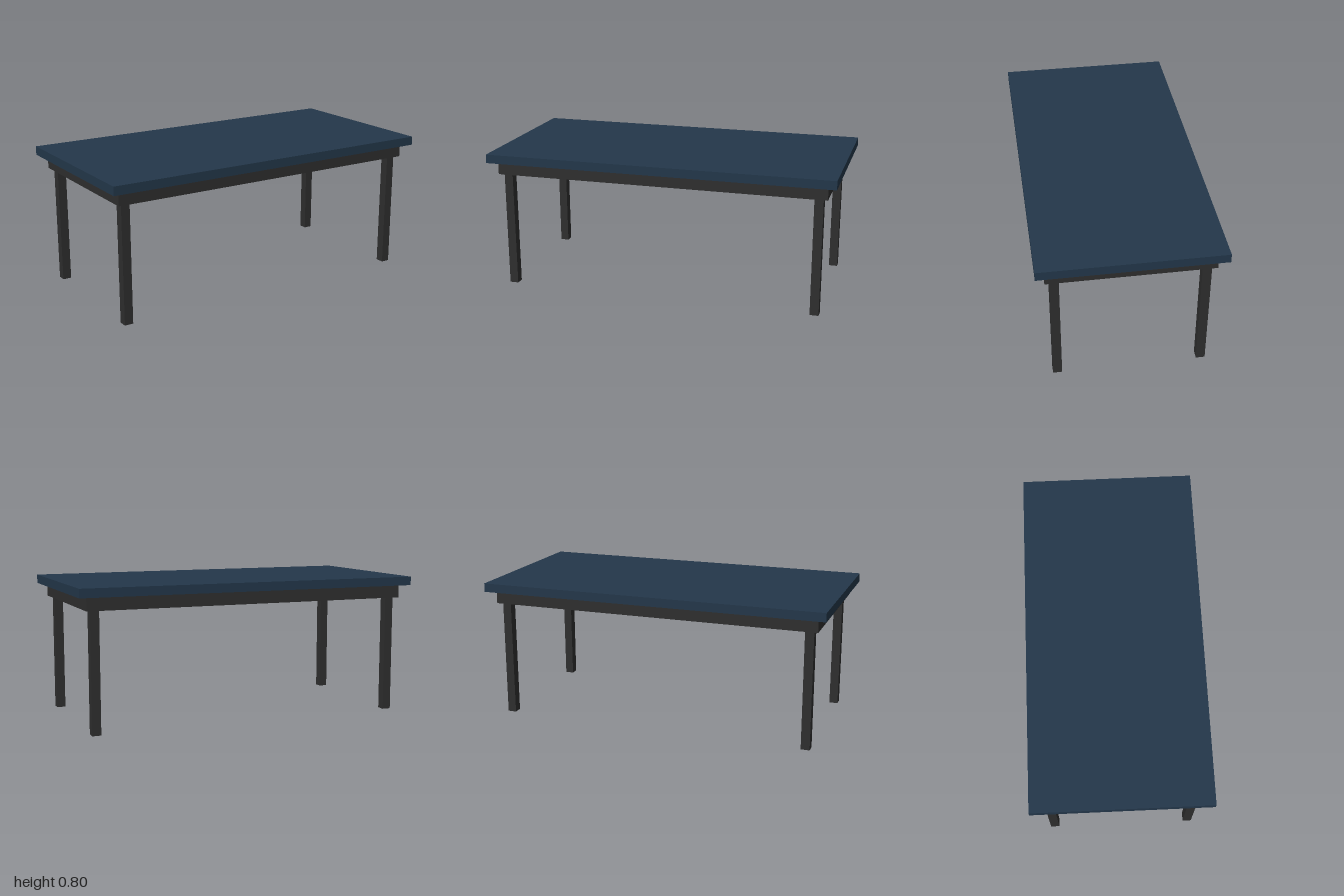
import * as THREE from 'three';

export function createModel() {
  const table = new THREE.Group();
  table.name = 'table';
  const navy = new THREE.MeshStandardMaterial({ color: 0x23374a });
  navy.name = 'navy blue';
  const charcoal = new THREE.MeshStandardMaterial({ color: 0x2e2e2e });
  charcoal.name = 'charcoal';

  const addBox = (name, material, size, position) => {
    const mesh = new THREE.Mesh(new THREE.BoxGeometry(...size), material);
    mesh.name = name;
    mesh.position.set(...position);
    table.add(mesh);
  };

  // Slab top
  addBox('tableTop', navy, [2, 0.05, 1], [0, 0.775, 0]);

  // Apron frame: long rails run the full length, end rails fit between them
  const rail = 0.025, railHeight = 0.075, railY = 0.7125;
  for (const [side, s] of [['front', 1], ['back', -1]]) {
    addBox(side + 'Rail', charcoal, [1.9, railHeight, rail], [0, railY, s * (0.45 - rail / 2)]);
  }
  for (const [side, s] of [['left', 1], ['right', -1]]) {
    addBox(side + 'Rail', charcoal, [rail, railHeight, 0.9 - 2 * rail], [s * (0.95 - rail / 2), railY, 0]);
  }

  // Square legs, set in the inside corners of the frame
  for (const [end, z] of [['front', 0.4], ['back', -0.4]]) {
    for (const [side, x] of [['Left', 0.9], ['Right', -0.9]]) {
      addBox(end + side + 'Leg', charcoal, [0.05, 0.75, 0.05], [x, 0.375, z]);
    }
  }

  return table;
}
